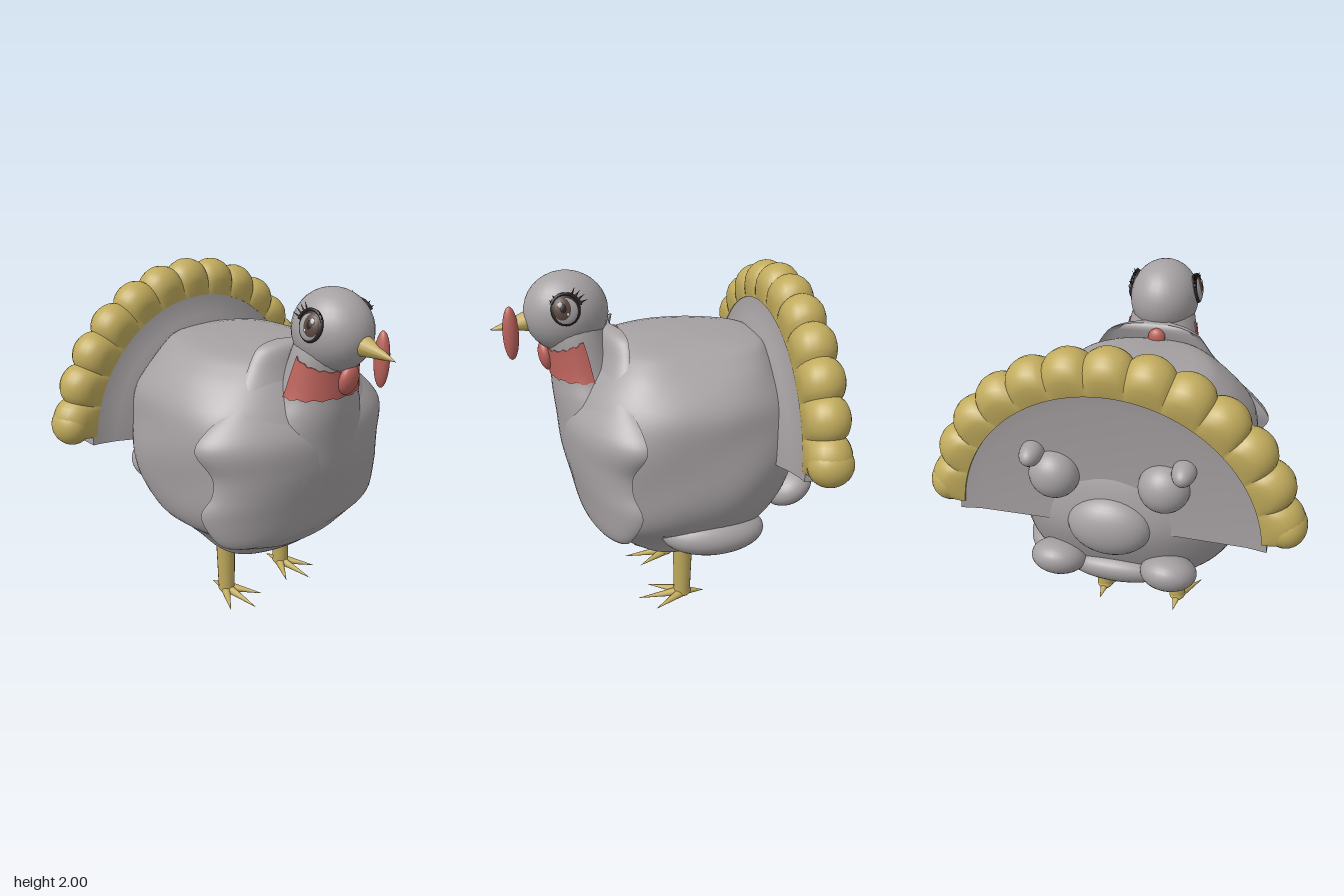
import * as THREE from 'three';
import { toCreasedNormals } from 'three/addons/utils/BufferGeometryUtils.js';

const mat = (name, color) => Object.assign(new THREE.MeshStandardMaterial({ color }), { name });
const V = (x, y, z) => new THREE.Vector3(x, y, z);

// Closed skin over a list of rings; flipped if it comes out inside out
function loft(rings, crease = 0.8) {
  const n = rings[0].length, pts = rings.flat(), idx = [];
  for (let i = 0; i < rings.length - 1; i++) {
    for (let j = 0; j < n; j++) {
      const a = i * n + j, b = i * n + (j + 1) % n;
      idx.push(a, b, a + n, b, b + n, a + n);
    }
  }
  [0, rings.length - 1].forEach((r, end) => {
    const c = pts.length;
    pts.push(rings[r].reduce((s, p) => s.add(p), V(0, 0, 0)).divideScalar(n));
    for (let j = 0; j < n; j++) {
      const a = r * n + j, b = r * n + (j + 1) % n;
      idx.push(...(end ? [a, b, c] : [b, a, c]));
    }
  });
  let volume = 0;
  for (let i = 0; i < idx.length; i += 3) {
    volume += pts[idx[i]].dot(pts[idx[i + 1]].clone().cross(pts[idx[i + 2]]));
  }
  if (volume < 0) idx.reverse();
  const g = new THREE.BufferGeometry().setFromPoints(pts);
  g.setIndex(idx);
  return toCreasedNormals(g, crease);
}

// Smoothly resample rows of [y, back x, front x, half width]
function resample(rows, steps) {
  const curves = [1, 2, 3].map(c => new THREE.SplineCurve(rows.map(r => new THREE.Vector2(r[0], r[c]))));
  return Array.from({ length: steps + 1 }, (_, i) => {
    const p = curves.map(c => c.getPoint(i / steps));
    return [p[0].x, p[0].y, p[1].y, p[2].y];
  });
}

const sgnPow = (v, e) => Math.sign(v) * Math.abs(v) ** e;

// Rounded-box outline point at angle t; angle 0 faces the breast
function outline([y, back, front, half], t, e = 1, grow = 0) {
  return V((back + front) / 2 + ((front - back) / 2 + grow) * sgnPow(Math.cos(t), e), y,
    (half + grow) * sgnPow(Math.sin(t), e));
}

export function createModel() {
  const model = new THREE.Group();
  model.name = 'turkey';
  const grey = mat('greyFeather', 0xa6a1a3), yellow = mat('yellow', 0xc0aa5c), red = mat('red', 0xbc625b);
  const brown = mat('brownIris', 0x5a463f), dark = mat('darkLash', 0x2b2524), white = mat('eyeShine', 0xd5d0cd);

  const add = (name, geo, material, parent = model) => {
    const m = new THREE.Mesh(geo, material);
    m.name = name;
    parent.add(m);
    return m;
  };
  const ball = (name, material, p, r, parent) => {
    const m = add(name, new THREE.SphereGeometry(1, 28, 18), material, parent);
    m.position.set(...p);
    m.scale.set(...r);
    return m;
  };
  const spike = (name, material, a, b, r, parent) => {
    const d = b.clone().sub(a);
    const m = add(name, new THREE.ConeGeometry(r, d.length(), 12), material, parent);
    m.position.copy(a).addScaledVector(d, 0.5);
    m.quaternion.setFromUnitVectors(V(0, 1, 0), d.normalize());
    return m;
  };
  const turn = n => Array.from({ length: n }, (_, i) => i / n * Math.PI * 2);

  // Body, with soft feather ripples
  const bodyRows = resample([
    [0.36, -0.2, 0.06, 0.28], [0.385, -0.28, 0.15, 0.33], [0.46, -0.45, 0.28, 0.38], [0.55, -0.6, 0.38, 0.46],
    [0.65, -0.68, 0.44, 0.57], [0.8, -0.76, 0.49, 0.63], [1.0, -0.82, 0.53, 0.65], [1.2, -0.8, 0.53, 0.645],
    [1.35, -0.75, 0.46, 0.62], [1.48, -0.68, 0.37, 0.53], [1.56, -0.64, 0.31, 0.44], [1.605, -0.6, 0.26, 0.37],
    [1.625, -0.5, 0.2, 0.28]], 48);
  add('body', loft(bodyRows.map(r => turn(72).map(t =>
    outline(r, t, 0.78, 0.012 * Math.sin(5 * t + 4 * r[0]) * Math.sin(9 * r[0]) * Math.sin(t) ** 2)))), grey);

  // Breast cape with flared, scalloped rear edges
  const capeRows = resample([
    [0.54, 0.3, 0.38, 0.3], [0.6, 0.29, 0.42, 0.48], [0.66, 0.26, 0.46, 0.61], [0.83, 0.2, 0.5, 0.68],
    [0.95, 0.24, 0.525, 0.635], [1.06, 0.24, 0.54, 0.63], [1.2, 0.18, 0.54, 0.69], [1.3, 0.19, 0.5, 0.62],
    [1.43, 0.24, 0.39, 0.45], [1.55, 0.2, 0.34, 0.35], [1.67, 0.19, 0.32, 0.26], [1.705, 0.21, 0.29, 0.15]], 48);
  add('breastCape', loft(capeRows.map(([y, back, front, half]) => {
    const ring = [];
    for (let i = 0; i <= 40; i++) {
      const t = (i / 40 - 0.5) * Math.PI;
      ring.push(V(back + (front - back) * Math.max(0, Math.cos(t)) ** 1.15, y, half * Math.sin(t)));
    }
    ring.push(V(back + 0.04, y, half * 0.8), V(back + 0.04, y, -half * 0.8));
    return ring;
  })), grey);

  // Neck and breast front
  const neckRows = resample([
    [0.75, 0.0, 0.48, 0.34], [1.0, 0.05, 0.54, 0.36], [1.2, 0.1, 0.56, 0.34], [1.34, 0.16, 0.575, 0.29],
    [1.45, 0.2, 0.58, 0.24], [1.58, 0.24, 0.59, 0.21], [1.68, 0.27, 0.61, 0.19], [1.78, 0.3, 0.62, 0.16]], 40);
  add('neck', loft(neckRows.map(r => turn(48).map(t => outline(r, t)))), grey);

  // Red throat band: a thin curved plate, taller toward the sides
  const neckAt = y => {
    const i = neckRows.findIndex(r => r[0] >= y), a = neckRows[i - 1], b = neckRows[i];
    return a.map((v, k) => v + (b[k] - v) * (y - a[0]) / (b[0] - a[0]));
  };
  const band = [];
  for (let i = 0; i <= 28; i++) {
    const u = i / 14 - 1, t = u * 1.68;
    const low = 1.445 + 0.006 * Math.sin(i * 1.9), high = 1.59 + 0.07 * u * u + 0.006 * Math.sin(i * 2.3);
    const side = grow => Array.from({ length: 9 }, (_, k) => outline(neckAt(low + (high - low) * k / 8), t, 1, grow));
    band.push([...side(0.007), ...side(-0.002).reverse()]);
  }
  add('throatBand', loft(band), red);
  ball('napePatch', red, [0.22, 1.63, 0.01], [0.035, 0.055, 0.05]);

  // Head, beak, snood and wattle
  ball('head', grey, [0.48, 1.78, 0], [0.23, 0.22, 0.2]);
  spike('beak', yellow, V(0.66, 1.745, 0), V(0.895, 1.7, 0), 0.065);
  ball('snood', red, [0.783, 1.683, -0.03], [0.043, 0.147, 0.036]);
  ball('wattle', red, [0.6, 1.54, 0], [0.042, 0.085, 0.066]).rotation.z = -0.2;

  // Eyes with lids and lashes
  for (const s of [1, -1]) {
    const eye = new THREE.Group();
    eye.name = s > 0 ? 'leftEye' : 'rightEye';
    eye.position.set(0.5, 1.838, 0.184 * s);
    eye.rotation.x = -0.25 * s;
    model.add(eye);
    const layer = (name, m, x, y, z, rx, ry, rz) => ball(name, m, [x, y, z * s], [rx, ry, rz], eye);
    layer('eyeOutline', dark, 0, 0, 0, 0.078, 0.085, 0.026);
    layer('eyeball', grey, 0, -0.003, 0.002, 0.071, 0.077, 0.028);
    layer('iris', brown, 0.01, 0, 0.004, 0.058, 0.068, 0.03);
    layer('pupil', dark, 0.014, 0.004, 0.008, 0.032, 0.042, 0.029);
    layer('shine', white, 0.03, 0.025, 0.03, 0.014, 0.016, 0.006);
    layer('smallShine', white, -0.008, -0.025, 0.03, 0.008, 0.009, 0.006);
    const lid = add('upperLid', new THREE.TorusGeometry(0.08, 0.008, 6, 24, Math.PI * 0.8), dark, eye);
    lid.rotation.z = Math.PI * 0.12;
    lid.position.z = 0.012 * s;
    for (const a of [0.55, 0.85, 2.0, 2.25, 2.5, 2.75]) {
      const at = (r, z) => V(r * Math.cos(a), r * Math.sin(a), z * s);
      spike('lash', dark, at(0.078, 0.012), at(a > 1.5 ? 0.128 : 0.1, 0.022), 0.006, eye);
    }
  }

  // Tail fan: grey web and scalloped yellow rim, swept through a half turn
  const sweep = (from, to, steps, section) => loft(Array.from({ length: steps + 1 }, (_, i) => {
    const u = i / steps, a = from + (to - from) * u;
    return section(u).map(([r, x]) => V(-0.725 + x, 1.0 + r * Math.sin(a), r * Math.cos(a)));
  }), 0.9);
  add('tailWeb', sweep(0.03, Math.PI - 0.03, 64, () => [
    [0.3, 0.2], [0.55, 0.18], [0.66, 0.13], [0.75, 0.105], [0.8, 0.1], [0.8, -0.09], [0.7, -0.07], [0.3, -0.05]]), grey);
  const lobes = 13;
  add('tailRim', sweep(0.09, Math.PI - 0.09, lobes * 12, u => {
    const bump = Math.abs(Math.sin(u * lobes * Math.PI)) ** 0.7, outer = 0.94 + 0.045 * bump, w = 0.098 + 0.022 * bump;
    const ring = [[0.775, -0.094], [0.775, 0.106]];
    for (let k = 0; k <= 10; k++) {
      const t = (0.5 - k / 10) * Math.PI;
      ring.push([outer - 0.12 + 0.12 * Math.cos(t), w * Math.sin(t)]);
    }
    return ring;
  }), yellow);
  for (const s of [1, -1]) ball('tailRimEnd', yellow, [-0.725, 1.145, 0.875 * s], [0.122, 0.115, 0.105]);

  // Feather tufts on the rump
  for (const s of [1, -1]) {
    ball('upperTuft', grey, [-0.78, 1.3, 0.28 * s], [0.115, 0.13, 0.13]);
    ball('upperTuftTip', grey, [-0.8, 1.42, 0.38 * s], [0.1, 0.06, 0.06]);
    ball('lowerTuft', grey, [-0.74, 0.74, 0.3 * s], [0.15, 0.1, 0.15]).rotation.z = -0.5;
  }
  ball('middleTuft', grey, [-0.78, 1.03, 0], [0.125, 0.17, 0.22]);
  ball('rumpTuft', grey, [-0.66, 0.67, 0], [0.15, 0.09, 0.28]).rotation.z = -0.5;
  ball('sideTuft', grey, [-0.25, 0.58, -0.44], [0.3, 0.13, 0.18]);

  // Legs with three front toes and a hind toe
  for (const s of [1, -1]) {
    const leg = new THREE.Group();
    leg.name = s > 0 ? 'leftLeg' : 'rightLeg';
    leg.position.set(-0.13, 0, 0.237 * s);
    model.add(leg);
    add('shank', new THREE.CylinderGeometry(0.06, 0.05, 0.42, 18), yellow, leg).position.y = 0.25;
    ball('ankle', yellow, [0, 0.04, 0], [0.055, 0.035, 0.05], leg);
    for (const [x, z] of [[0.275, 0], [0.19, 0.13], [0.19, -0.13], [-0.14, 0]]) {
      spike('toe', yellow, V(-x * 0.1, 0.037, 0), V(x, 0.02, z), 0.034, leg);
    }
  }
  return model;
}
